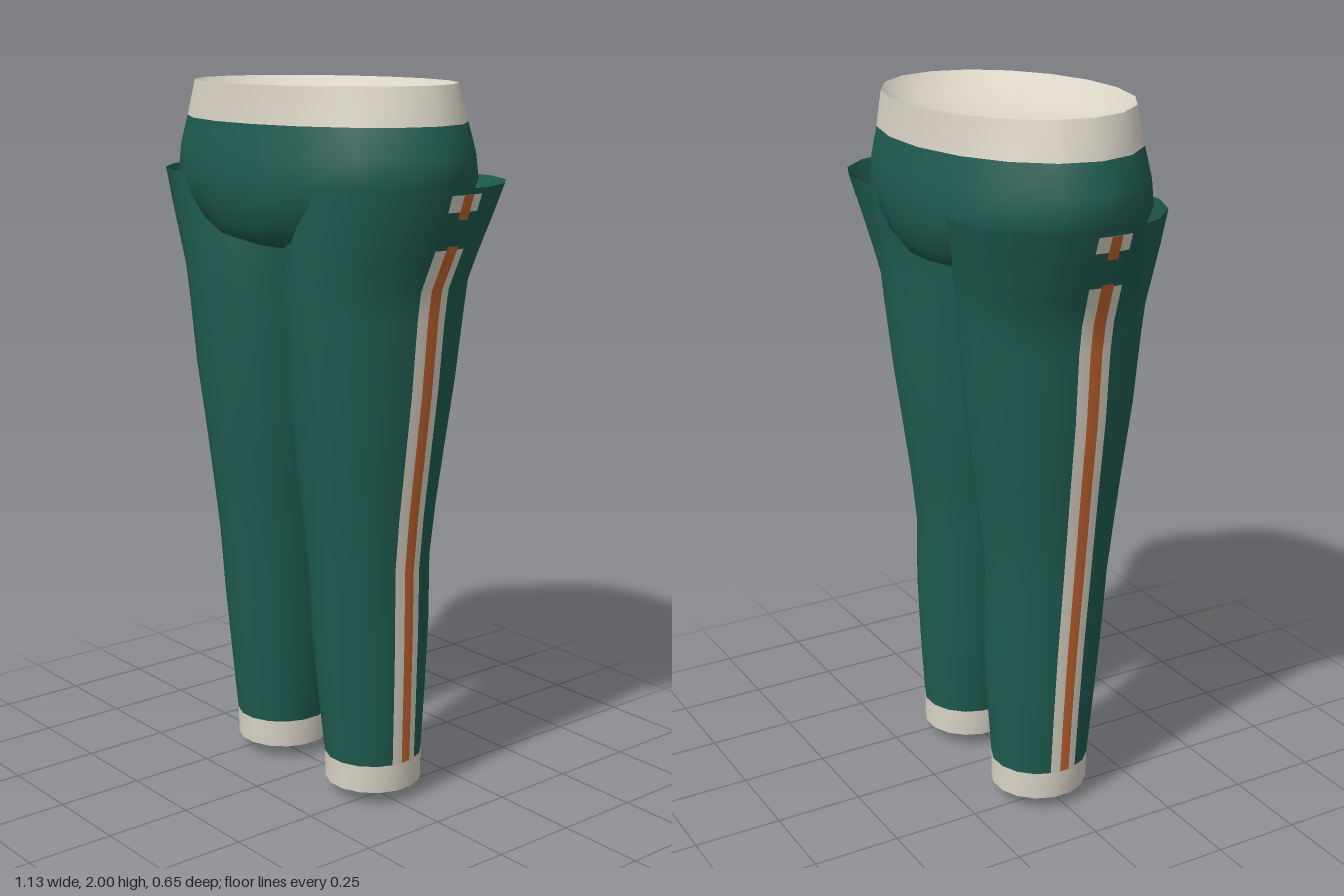
import * as THREE from 'three';

const green = new THREE.MeshStandardMaterial({ color: 0x1f5c50, side: THREE.DoubleSide });
green.name = 'greenFabric';
const cream = new THREE.MeshStandardMaterial({ color: 0xd9d3c5, side: THREE.DoubleSide });
cream.name = 'creamTrim';
const orange = new THREE.MeshStandardMaterial({ color: 0xc4652f, side: THREE.DoubleSide });
orange.name = 'orangeStripe';

const LEG_SIDES = 16;
const LEG_FLAT = Math.cos(Math.PI / LEG_SIDES);

// Leg sections: height, inner x, outer x, back z, front z
const LEG = [
  [0.12, 0.075, 0.342, -0.15, 0.125],
  [0.3, 0.062, 0.35, -0.162, 0.145],
  [0.5, 0.05, 0.36, -0.17, 0.165],
  [0.7, 0.045, 0.37, -0.165, 0.178],
  [0.85, 0.03, 0.385, -0.18, 0.195],
  [1.0, 0.014, 0.403, -0.2, 0.212],
  [1.2, 0.003, 0.428, -0.225, 0.235],
  [1.4, 0.002, 0.445, -0.245, 0.25],
  [1.48, 0.002, 0.457, -0.25, 0.255],
  [1.55, 0.002, 0.485, -0.263, 0.258],
  [1.65, 0.002, 0.525, -0.285, 0.263],
  [1.75, 0.002, 0.56, -0.31, 0.268],
];

function mesh(name, geometry, material) {
  const m = new THREE.Mesh(geometry, material);
  m.name = name;
  return m;
}

function grid(positions, index) {
  const g = new THREE.BufferGeometry();
  g.setAttribute('position', new THREE.Float32BufferAttribute(positions, 3));
  g.setIndex(index);
  g.computeVertexNormals();
  return g;
}

// Closed elliptical tube through a list of sections
function loft(sections, sides, start = 0, inflate = 1) {
  const pos = [], idx = [];
  sections.forEach(([y, x0, x1, z0, z1], i) => {
    for (let j = 0; j < sides; j++) {
      const a = start + (j / sides) * Math.PI * 2;
      pos.push((x0 + x1) / 2 + ((x1 - x0) / 2) * inflate * Math.cos(a), y,
        (z0 + z1) / 2 + ((z1 - z0) / 2) * inflate * Math.sin(a));
      if (i === sections.length - 1) continue;
      const p = i * sides + j, q = i * sides + ((j + 1) % sides);
      idx.push(p, p + sides, q, q, p + sides, q + sides);
    }
  });
  return grid(pos, idx);
}

const mirrored = (sections, s) =>
  sections.map(([y, a, b, c, d]) => (s > 0 ? [y, a, b, c, d] : [y, -b, -a, c, d]));

// Leg section at any height
function legAt(y) {
  let i = 0;
  while (i < LEG.length - 2 && LEG[i + 1][0] < y) i++;
  const t = (y - LEG[i][0]) / (LEG[i + 1][0] - LEG[i][0]);
  return LEG[i].map((v, k) => v + (LEG[i + 1][k] - v) * t);
}

// Ribbon hugging the outer side of a leg
function ribbon(s, yLow, yHigh, halfLow, halfHigh, offset) {
  const ys = [yLow, ...LEG.map((l) => l[0]).filter((y) => y > yLow && y < yHigh), yHigh];
  const cols = 6, pos = [], idx = [];
  ys.forEach((y, i) => {
    const [, x0, x1, z0, z1] = legAt(y);
    const cz = (z0 + z1) / 2, rz = (z1 - z0) / 2 / LEG_FLAT;
    const mid = Math.max(cz, -0.013);
    const half = halfLow + (halfHigh - halfLow) * (y - 0.12) / 1.63;
    for (let j = 0; j <= cols; j++) {
      const z = mid + half * (2 * j / cols - 1);
      const x = (x0 + x1) / 2
        + ((x1 - x0) / 2 / LEG_FLAT) * Math.sqrt(1 - ((z - cz) / rz) ** 2) + offset;
      pos.push(s * x, y, z);
      if (i === ys.length - 1 || j === cols) continue;
      const p = i * (cols + 1) + j, u = p + cols + 1;
      if (s > 0) idx.push(p, u, p + 1, p + 1, u, u + 1);
      else idx.push(p, p + 1, u, p + 1, u + 1, u);
    }
  });
  return grid(pos, idx);
}

function makeLeg(s) {
  const leg = new THREE.Group();
  leg.name = s > 0 ? 'leftLeg' : 'rightLeg';
  const tube = (sections) =>
    loft(mirrored(sections, s), LEG_SIDES, Math.PI / LEG_SIDES, 1 / LEG_FLAT);
  leg.add(mesh('trouserLeg', tube(LEG), green));

  // Ankle cuff and its shallow pointed sole
  const hem = [0.04, 0.075, 0.342, -0.15, 0.122];
  leg.add(mesh('cuff', tube([hem, LEG[0]]), cream));
  const tipX = s * 0.21 + 0.03, tip = [0, tipX, tipX, -0.03, -0.03];
  leg.add(mesh('cuffBottom',
    loft([tip, ...mirrored([hem], s)], LEG_SIDES, Math.PI / LEG_SIDES, 1 / LEG_FLAT), cream));

  // Side stripe, broken below the top edge
  leg.add(mesh('sideStripe', ribbon(s, 0.12, 1.59, 0.04, 0.05, 0.002), cream));
  leg.add(mesh('sideStripeCentre', ribbon(s, 0.125, 1.6, 0.014, 0.019, 0.006), orange));
  leg.add(mesh('upperStripe', ribbon(s, 1.69, 1.735, 0.05, 0.05, 0.002), cream));
  leg.add(mesh('upperStripeCentre', ribbon(s, 1.67, 1.735, 0.016, 0.016, 0.006), orange));
  leg.add(mesh('innerStripe', ribbon(s, 1.6, 1.735, 0.048, 0.048, -0.02), cream));
  return leg;
}

export function createModel() {
  const model = new THREE.Group();
  model.name = 'trackPants';
  const oval = (y, rx, rz) => [y, -rx, rx, -rz, rz];

  // Hips with rounded underside
  model.add(mesh('hips', loft([
    oval(1.555, 0.001, 0.001), oval(1.565, 0.2, 0.2), oval(1.59, 0.32, 0.272),
    oval(1.63, 0.405, 0.3), oval(1.69, 0.475, 0.32), oval(1.75, 0.512, 0.328),
    oval(1.82, 0.5, 0.325), oval(1.9, 0.468, 0.314),
  ], 18), green));

  // Waistband and its hollow lining
  model.add(mesh('waistband', loft([oval(1.9, 0.468, 0.314), oval(2, 0.425, 0.308)], 18), cream));
  model.add(mesh('waistLining', loft([
    oval(2, 0.425, 0.308), oval(1.95, 0.36, 0.26), oval(1.91, 0.22, 0.16), oval(1.895, 0.001, 0.001),
  ], 18), cream));

  for (const s of [1, -1]) model.add(makeLeg(s));
  return model;
}
